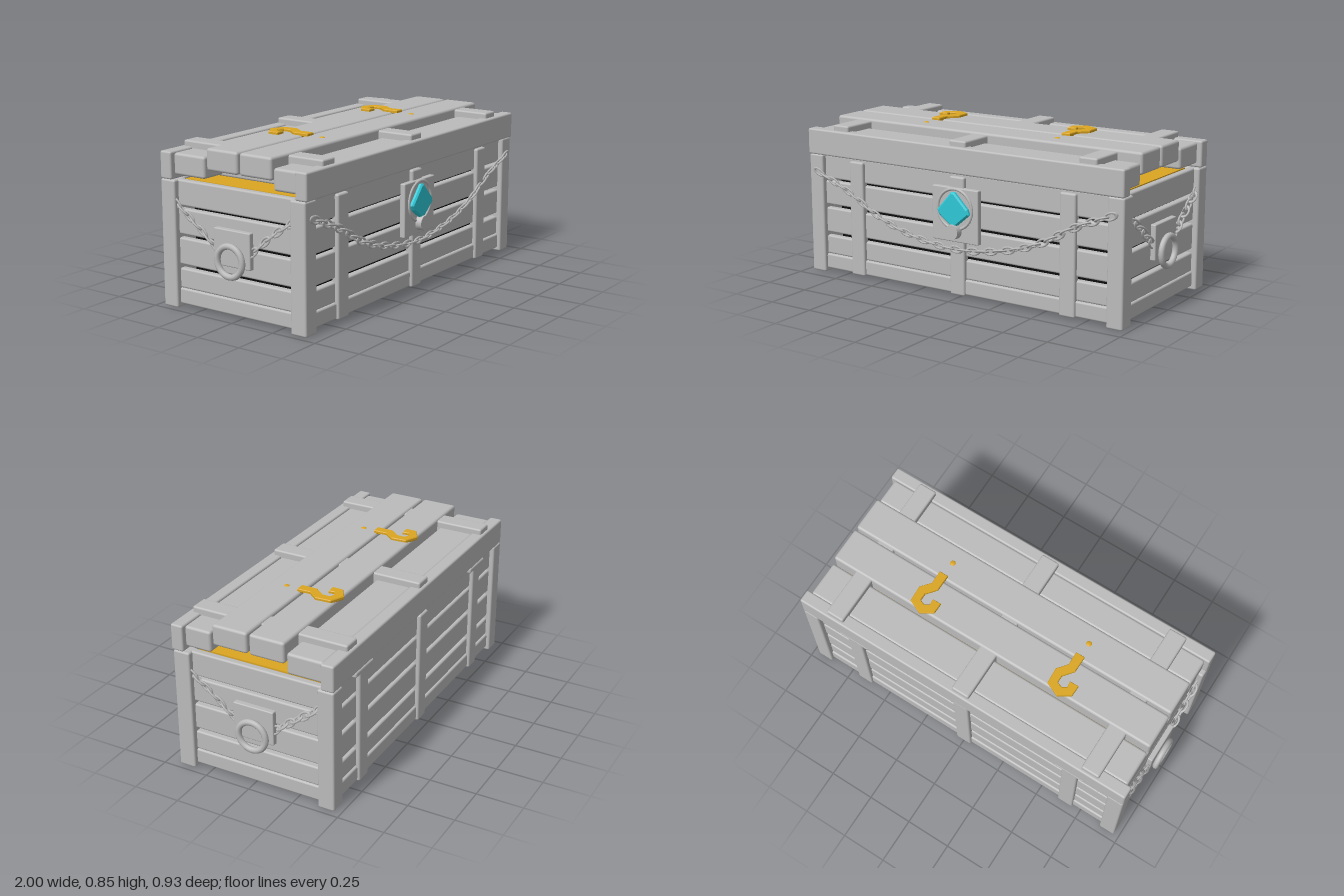
import * as THREE from 'three';
import { RoundedBoxGeometry } from 'three/addons/geometries/RoundedBoxGeometry.js';

const mat = (name, color) => Object.assign(new THREE.MeshStandardMaterial({ color }), { name });

export function createModel() {
  const model = new THREE.Group();
  model.name = 'chest';
  const grey = mat('grey', 0xbbbbbb), gold = mat('gold', 0xdaa520);
  const cyan = mat('cyan', 0x2ec8d6), black = mat('black', 0x0a0a0a);

  const add = (name, geo, material, x = 0, y = 0, z = 0, parent = model) => {
    const mesh = new THREE.Mesh(geo, material);
    mesh.name = name;
    mesh.position.set(x, y, z);
    parent.add(mesh);
    return mesh;
  };
  // Bevelled beam given by its extents
  const beam = (name, x0, x1, y0, y1, z0, z1, r = 0.01) => {
    const s = [x1 - x0, y1 - y0, z1 - z0];
    const geo = new RoundedBoxGeometry(...s, 2, Math.min(r, Math.min(...s) * 0.4));
    return add(name, geo, grey, (x0 + x1) / 2, (y0 + y1) / 2, (z0 + z1) / 2);
  };

  // Corner posts
  for (const x of [-0.925, 0.925]) {
    beam('frontPost', x - 0.045, x + 0.045, 0, 0.655, 0.335, 0.427);
    beam('backPost', x - 0.045, x + 0.045, 0, 0.655, -0.465, -0.375);
  }

  // Wall planks with narrow gaps
  for (const [y0, y1] of [[0.1, 0.203], [0.222, 0.36], [0.378, 0.51], [0.524, 0.655]]) {
    beam('frontPlank', -0.9, 0.9, y0, y1, 0.36, 0.4);
    beam('backPlank', -0.9, 0.9, y0, y1, -0.438, -0.398);
    for (const s of [-1, 1]) beam('sidePlank', s * 0.92 - 0.02, s * 0.92 + 0.02, y0, y1, -0.4, 0.36);
  }

  // Bottom rails and floor
  beam('frontRail', -0.9, 0.9, 0.018, 0.1, 0.36, 0.408);
  beam('backRail', -0.9, 0.9, 0.018, 0.1, -0.446, -0.398);
  for (const s of [-1, 1]) beam('sideRail', s * 0.92 - 0.025, s * 0.92 + 0.025, 0.018, 0.1, -0.4, 0.36);
  add('floor', new THREE.BoxGeometry(1.84, 0.02, 0.8), grey, 0, 0.03, -0.019);

  // Dark interior and gold fill
  add('interior', new THREE.BoxGeometry(1.7, 0.58, 0.66), black, 0, 0.33, -0.02);
  add('goldFill', new THREE.BoxGeometry(1.78, 0.03, 0.7), gold, 0, 0.637, -0.02);

  // Upright slats, with caps on the outer back ones
  for (const x of [-0.655, 0, 0.655]) {
    beam('frontSlat', x - 0.045, x + 0.045, 0.014, 0.64, 0.38, 0.421);
    beam('backSlat', x - 0.045, x + 0.045, 0.014, 0.64, -0.459, -0.41);
    if (x) beam('backSlatCap', x - 0.09, x + 0.09, 0.622, 0.652, -0.463, -0.42);
  }

  // Lid: edge boards, stepped planks and cross battens
  beam('lidFrontBoard', -0.97, 0.97, 0.655, 0.795, 0.367, 0.435);
  beam('lidBackBoard', -0.97, 0.97, 0.655, 0.795, -0.465, -0.395);
  for (const [z0, z1, y0, y1] of [[0.222, 0.37, 0.677, 0.788], [0.017, 0.211, 0.723, 0.835],
    [-0.188, 0.005, 0.723, 0.835], [-0.398, -0.2, 0.677, 0.788]])
    beam('lidPlank', -0.945, 0.945, y0, y1, z0, z1, 0.014);
  for (const x of [-0.76, 0, 0.76]) beam('lidBatten', x - 0.05, x + 0.05, 0.67, 0.825, -0.45, 0.412);

  // Gold hook ornaments, a mitred strip along a path, each with a round stud
  const path = [[-0.05, -0.112], [-0.052, -0.155], [-0.008, -0.183], [0.045, -0.16], [0.047, -0.098], [0.004, -0.045], [0.004, 0.035]]
    .map(([x, z]) => new THREE.Vector2(x, -z));
  const side = (w) => path.map((p, i) => {
    const a = path[Math.max(i - 1, 0)], b = path[Math.min(i + 1, path.length - 1)];
    const d = b.clone().sub(a).normalize();
    return new THREE.Vector2(p.x - d.y * w, p.y + d.x * w);
  });
  const hookShape = new THREE.Shape([...side(0.022), ...side(-0.022).reverse()]);
  const hookGeo = new THREE.ExtrudeGeometry(hookShape, { depth: 0.012, bevelSize: 0.003, bevelThickness: 0.004, bevelSegments: 1 });
  hookGeo.rotateX(-Math.PI / 2);
  for (const x of [-0.41, 0.41]) {
    add('hookOrnament', hookGeo, gold, x, 0.833, 0);
    add('goldStud', new THREE.SphereGeometry(0.016, 12, 8), gold, x, 0.833, 0.115).scale.y = 0.4;
  }

  // Lock: plate, round collar, faceted gem and button
  beam('lockPlate', -0.142, 0.142, 0.302, 0.586, 0.405, 0.436, 0.006);
  add('gemCollar', new THREE.TorusGeometry(0.105, 0.008, 8, 32), grey, 0, 0.475, 0.436);
  const gem = new THREE.Shape([[-0.1, 0.465], [-0.085, 0.44], [-0.008, 0.384], [0.01, 0.384], [0.098, 0.458],
    [0.088, 0.485], [0.008, 0.565], [-0.012, 0.565]].map((p) => new THREE.Vector2(...p)));
  const gemGeo = new THREE.ExtrudeGeometry(gem, { depth: 0.012, bevelSize: 0.008, bevelOffset: -0.008, bevelThickness: 0.008, bevelSegments: 1 });
  add('gem', gemGeo, cyan, 0, 0, 0.438);
  const button = new THREE.CylinderGeometry(0.038, 0.042, 0.045, 24).rotateX(Math.PI / 2);
  add('lockButton', button, grey, 0, 0.36, 0.447);

  // Side handles
  for (const s of [-1, 1]) {
    beam('handlePlate', s * 0.947 - 0.02, s * 0.947 + 0.02, 0.27, 0.455, -0.132, 0.093, 0.006);
    add('handleRing', new THREE.TorusGeometry(0.077, 0.016, 10, 36), grey, s * 0.983, 0.302, -0.02).rotation.y = Math.PI / 2;
  }

  // Chains of oval links, alternately facing out and on edge
  const linkGeo = new THREE.TorusGeometry(0.018, 0.0055, 6, 14);
  linkGeo.scale(1.9, 1, 1);
  const chain = (name, points, normal) => {
    const group = new THREE.Group();
    group.name = name;
    const curve = new THREE.CatmullRomCurve3(points.map((p) => new THREE.Vector3(...p)));
    const n = Math.round(curve.getLength() / 0.053);
    for (let i = 0; i <= n; i++) {
      const t = curve.getTangentAt(i / n);
      const out = new THREE.Vector3(...normal);
      const up = out.clone().cross(t).normalize();
      out.crossVectors(t, up);
      const p = curve.getPointAt(i / n);
      const link = add('chainLink', linkGeo, grey, p.x, p.y, p.z, group);
      link.quaternion.setFromRotationMatrix(new THREE.Matrix4().makeBasis(t, up, out));
      link.rotateX(i % 2 ? 1.2 : 0.25);
    }
    model.add(group);
  };
  chain('frontChain', [[-0.9, 0.56, 0.433], [-0.7, 0.475, 0.43], [-0.5, 0.365, 0.428], [-0.28, 0.295, 0.428], [0, 0.262, 0.43],
    [0.28, 0.295, 0.428], [0.5, 0.365, 0.428], [0.7, 0.475, 0.43], [0.9, 0.56, 0.433]], [0, 0, 1]);
  for (const s of [-1, 1]) {
    const x = s * 0.953;
    chain('sideChainFront', [[x, 0.54, 0.335], [x, 0.465, 0.225], [x, 0.36, 0.1]], [s, 0, 0]);
    chain('sideChainBack', [[x, 0.54, -0.38], [x, 0.445, -0.25], [x, 0.355, -0.135]], [s, 0, 0]);
  }
  return model;
}
